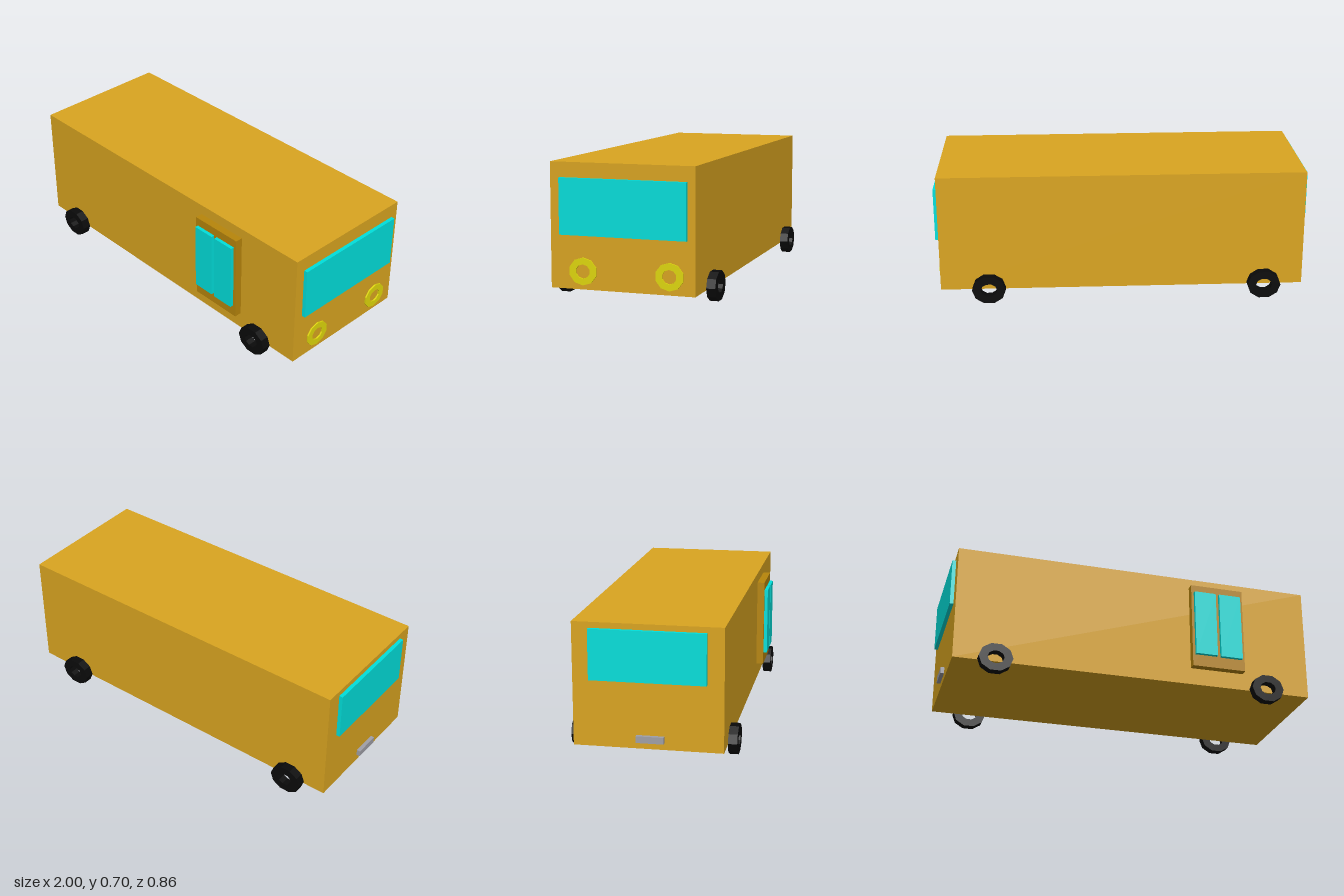
import * as THREE from 'three';

const paint = (color) => new THREE.MeshStandardMaterial({ color, flatShading: true });

// Box given by its minimum and maximum corners
function box(name, material, [x0, y0, z0], [x1, y1, z1]) {
  const mesh = new THREE.Mesh(new THREE.BoxGeometry(x1 - x0, y1 - y0, z1 - z0), material);
  mesh.name = name;
  mesh.position.set((x0 + x1) / 2, (y0 + y1) / 2, (z0 + z1) / 2);
  return mesh;
}

// Ten-sided outline, slightly oval
function decagon(rx, ry, start) {
  return Array.from({ length: 10 }, (_, i) => {
    const a = start + (i / 10) * Math.PI * 2;
    return new THREE.Vector2(rx * Math.cos(a), ry * Math.sin(a));
  });
}

// Flat ring facing +z, with an open middle
function ringGeometry(outer, inner, start, depth) {
  const shape = new THREE.Shape(decagon(...outer, start));
  shape.holes.push(new THREE.Path(decagon(...inner, start).reverse()));
  return new THREE.ExtrudeGeometry(shape, { depth, bevelEnabled: false });
}

export function createModel() {
  const group = new THREE.Group();
  const gold = paint(0xdaa520);
  const darkGold = paint(0xb8860b);
  const glass = paint(0x00e0dc);
  const yellow = paint(0xe0d80a);
  const black = paint(0x0a0a0a);
  const grey = paint(0xa0a0a8);

  // Body, end windows and rear plate
  group.add(
    box('body', gold, [-0.98, 0.07, -0.385], [0.98, 0.705, 0.373]),
    box('windshield', glass, [0.975, 0.343, -0.345], [1, 0.628, 0.32]),
    box('rearWindow', glass, [-1, 0.415, -0.3], [-0.975, 0.675, 0.288]),
    box('rearPlate', grey, [-1, 0.105, -0.065], [-0.975, 0.14, 0.076]),
  );

  // Side door with two panes
  group.add(
    box('door', darkGold, [0.304, 0.164, 0.365], [0.6, 0.65, 0.413]),
    box('doorPaneRear', glass, [0.318, 0.23, 0.405], [0.44, 0.604, 0.432]),
    box('doorPaneFront', glass, [0.46, 0.228, 0.405], [0.583, 0.604, 0.432]),
  );

  // Headlight rings on the windshield end
  const lampGeometry = ringGeometry([0.074, 0.07], [0.038, 0.036], Math.PI / 2, 0.013);
  for (const [name, z] of [['headlightLeft', 0.2], ['headlightRight', -0.254]]) {
    const lamp = new THREE.Mesh(lampGeometry, yellow);
    lamp.name = name;
    lamp.rotation.y = Math.PI / 2;
    lamp.position.set(0.975, 0.162, z);
    group.add(lamp);
  }

  // Wheels
  const wheelGeometry = ringGeometry([0.09, 0.078], [0.044, 0.036], 0, 0.047);
  const wheels = [
    [-0.762, 0.075, 0.373], [0.726, 0.077, 0.373],
    [-0.768, 0.08, -0.432], [0.72, 0.08, -0.432],
  ];
  wheels.forEach((p, i) => {
    const wheel = new THREE.Mesh(wheelGeometry, black);
    wheel.name = `wheel${i + 1}`;
    wheel.position.set(...p);
    group.add(wheel);
  });

  return group;
}
